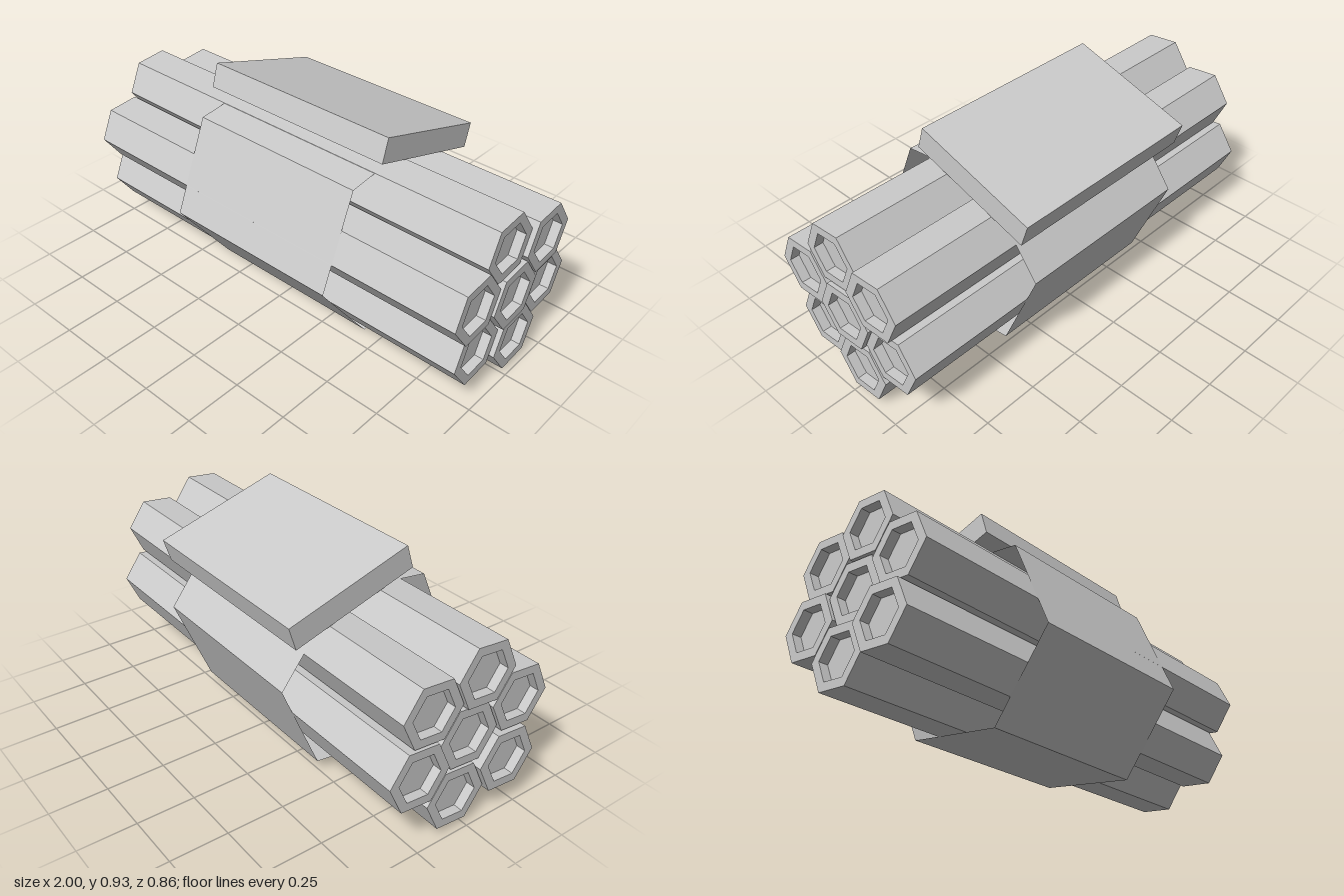
import * as THREE from 'three';

const deg = Math.PI / 180;
const CENTRE_Y = 0.404;

export function createModel() {
  const group = new THREE.Group();
  const material = new THREE.MeshStandardMaterial({ color: 0xcccccc, flatShading: true });
  const shellMaterial = material.clone();
  shellMaterial.side = THREE.DoubleSide;

  const add = (name, geometry, mat, y, z) => {
    const mesh = new THREE.Mesh(geometry, mat);
    mesh.name = name;
    mesh.position.set(0, y, z);
    group.add(mesh);
    return mesh;
  };

  // Hexagonal rod along x, with a shallow hexagonal recess in each end
  const rodGeometry = (x0, x1) => {
    const outer = 0.142, inner = 0.1, depth = 0.04;
    const profile = [
      [0, x0 + depth], [inner, x0 + depth], [inner, x0], [outer, x0],
      [outer, x1], [inner, x1], [inner, x1 - depth], [0, x1 - depth],
    ].map(([r, x]) => new THREE.Vector2(r, x));
    return new THREE.LatheGeometry(profile, 6, 5.4 * deg).rotateZ(-Math.PI / 2);
  };

  // Centre rod and a ring of six, with slightly uneven ends
  add('centreRod', rodGeometry(-0.97, 0.995), material, CENTRE_Y, 0);
  const ringEnds = [
    [-0.98, 0.985], [-0.98, 0.98], [-0.97, 1.0],
    [-0.98, 0.98], [-0.98, 0.985], [-1.0, 0.965],
  ];
  ringEnds.forEach(([x0, x1], i) => {
    const a = (17.3 + i * 60) * deg;
    add('outerRod' + (i + 1), rodGeometry(x0, x1), material,
      CENTRE_Y + 0.252 * Math.sin(a), 0.252 * Math.cos(a));
  });

  // Open hexagonal sleeve around the bundle
  const sleeve = new THREE.CylinderGeometry(0.435, 0.435, 0.825, 6, 1, true, 7.2 * deg);
  sleeve.rotateZ(-Math.PI / 2).translate(0.0025, 0, 0);
  add('sleeve', sleeve, shellMaterial, 0.402, 0);

  // Sloping plate on top of the sleeve
  const plate = add('topPlate', new THREE.BoxGeometry(0.92, 0.106, 0.58), material, 0.795, -0.14);
  plate.rotation.x = -17.3 * deg;

  return group;
}
